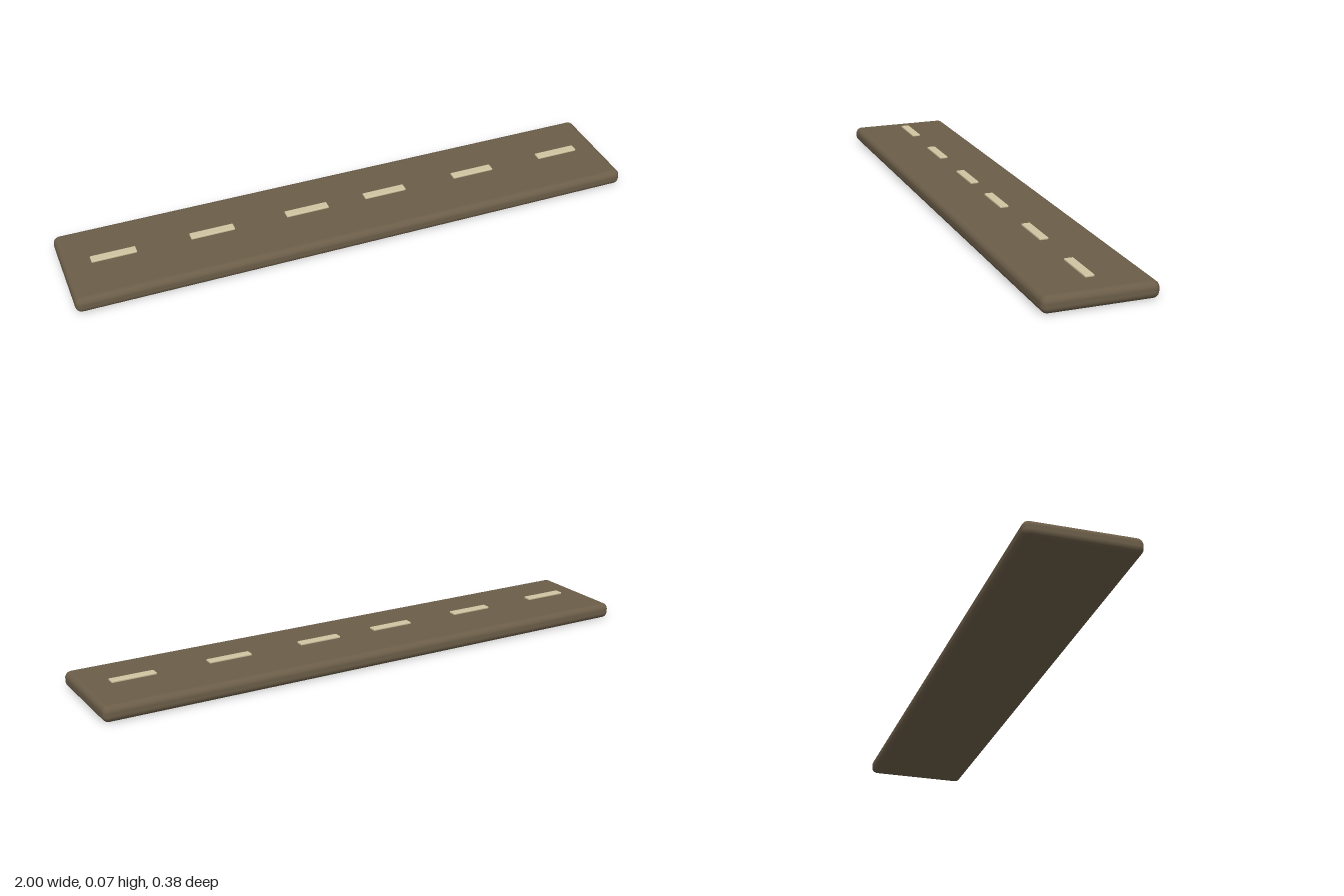
import * as THREE from 'three';
import { RoundedBoxGeometry } from 'three/addons/geometries/RoundedBoxGeometry.js';

export function createModel() {
  const group = new THREE.Group();
  const earth = new THREE.MeshStandardMaterial({ color: 0x6b5d48 });
  earth.name = 'brown road surface';
  const paint = new THREE.MeshStandardMaterial({ color: 0xd0c4a0 });
  paint.name = 'cream lane paint';

  // Rounded road slab
  const slab = new THREE.Mesh(new RoundedBoxGeometry(2, 0.055, 0.375, 5, 0.022), earth);
  slab.name = 'roadSlab';
  slab.position.y = 0.0275;
  group.add(slab);

  // Centre line dashes, hovering just above the slab, mirrored about the middle
  const dashGeometry = new RoundedBoxGeometry(0.155, 0.008, 0.031, 3, 0.003);
  for (const side of [-1, 1]) {
    [0.146, 0.488, 0.83].forEach((x, i) => {
      const dash = new THREE.Mesh(dashGeometry, paint);
      dash.name = `${side < 0 ? 'right' : 'left'}LaneDash${i + 1}`;
      dash.position.set(side * x, 0.063, 0);
      group.add(dash);
    });
  }
  return group;
}
